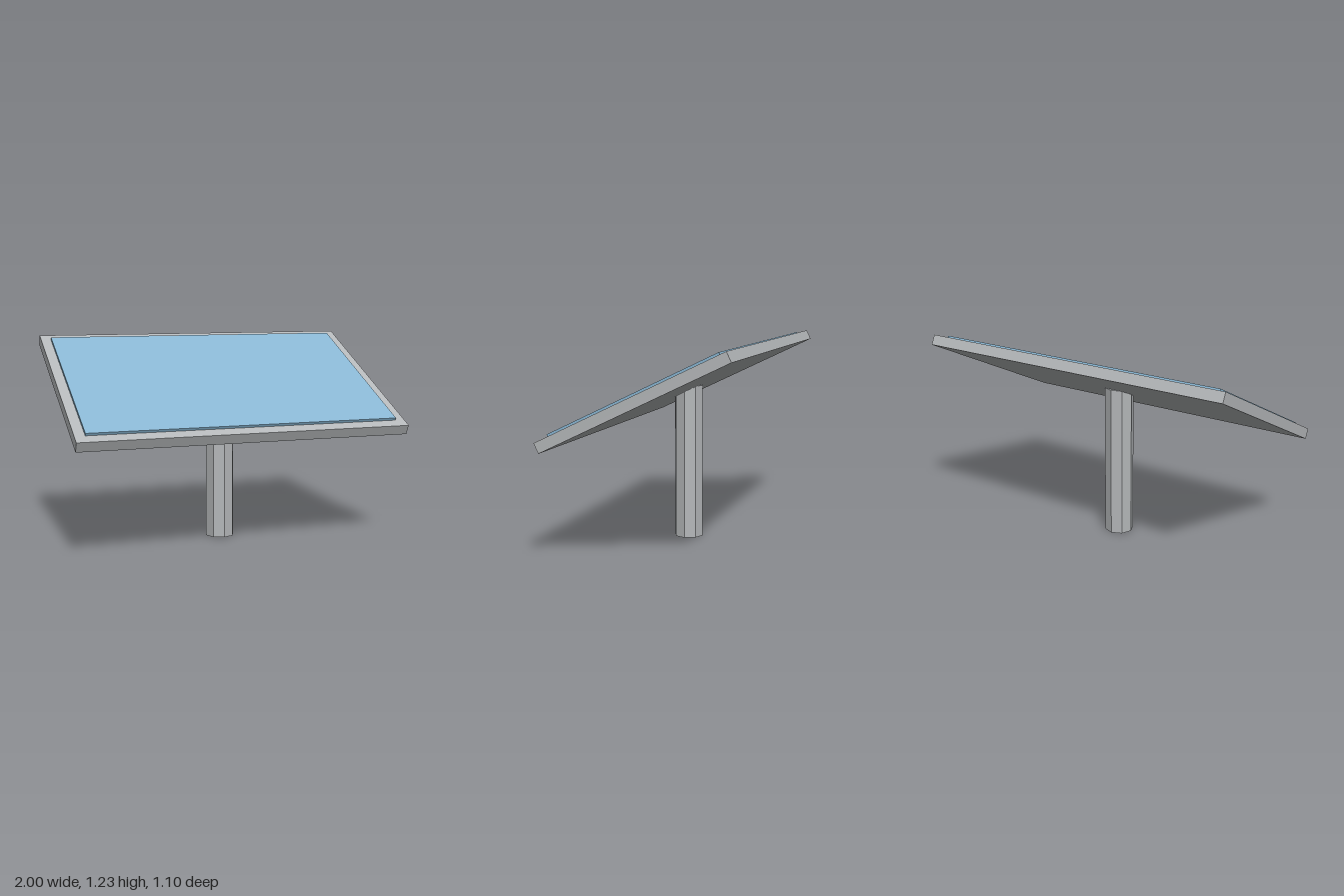
import * as THREE from 'three';

export function createModel() {
  const model = new THREE.Group();
  const metal = new THREE.MeshStandardMaterial({ color: 0xb4b7b9, flatShading: true });
  metal.name = 'grey metal';
  const glass = new THREE.MeshStandardMaterial({ color: 0x88b5d1, flatShading: true });
  glass.name = 'blue glass';

  const add = (parent, name, geometry, material, y, z = 0) => {
    const mesh = new THREE.Mesh(geometry, material);
    mesh.name = name;
    mesh.position.set(0, y, z);
    parent.add(mesh);
  };

  // Octagonal post, its flat top tucked into the underside of the panel
  add(model, 'post', new THREE.CylinderGeometry(0.0885, 0.0885, 0.9375, 8), metal, 0.46875);

  // Tilted panel: a plain slab with a raised sheet of cells on top
  const panel = new THREE.Group();
  panel.name = 'tiltedPanel';
  panel.position.y = 0.939;
  panel.rotation.x = 0.45;
  add(panel, 'panelFrame', new THREE.BoxGeometry(2, 0.0625, 1.1875), metal, 0);
  add(panel, 'panelCells', new THREE.BoxGeometry(1.88, 0.03, 1.07), glass, 0.032, -0.003);
  model.add(panel);

  return model;
}
